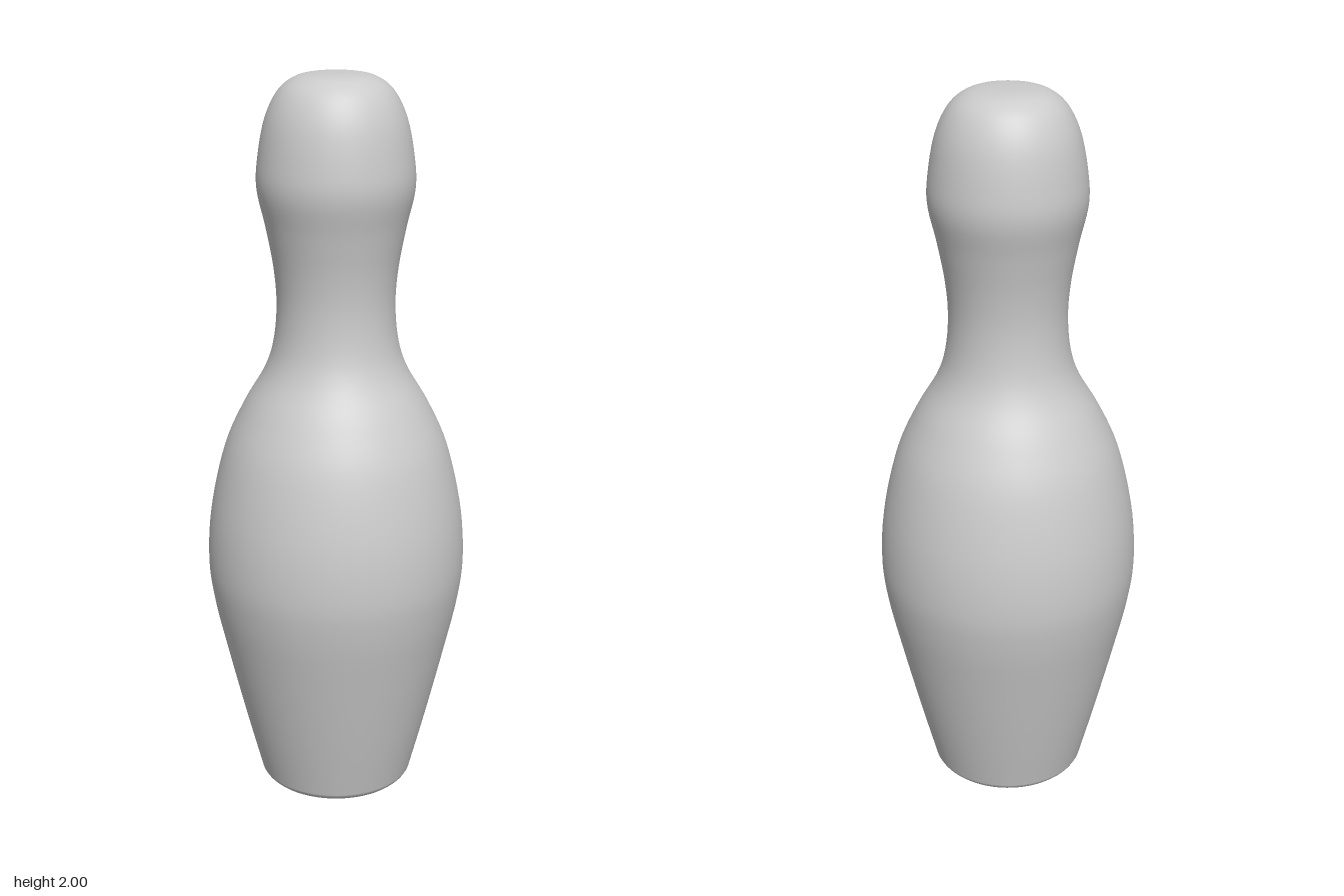
import * as THREE from 'three';

export function createModel() {
  const group = new THREE.Group();
  const material = new THREE.MeshStandardMaterial({ color: 0xcccccc });
  const segments = 96;

  // Side profile from the foot edge up to the crown: [radius, height]
  const profile = [
    [0.2, 0], [0.212, 0.013], [0.22, 0.04], [0.261, 0.2], [0.309, 0.4], [0.342, 0.55],
    [0.355, 0.67], [0.344, 0.82], [0.305, 0.99], [0.252, 1.11], [0.194, 1.21],
    [0.168, 1.29], [0.159, 1.39], [0.166, 1.49], [0.186, 1.6], [0.208, 1.7],
    [0.205, 1.78], [0.186, 1.88], [0.153, 1.95], [0.11, 1.986], [0.06, 1.998], [0, 2],
  ].map(([r, y]) => new THREE.Vector2(r, y));
  const points = new THREE.SplineCurve(profile).getPoints(110);
  points.forEach((p) => { p.x = Math.max(p.x, 0); });

  // Smooth turned body
  const body = new THREE.Mesh(new THREE.LatheGeometry(points, segments), material);
  body.name = 'pinBody';
  group.add(body);

  // Flat foot with a crisp edge
  const foot = new THREE.Mesh(new THREE.CircleGeometry(0.2, segments), material);
  foot.name = 'flatBase';
  foot.rotation.x = Math.PI / 2;
  group.add(foot);

  return group;
}
